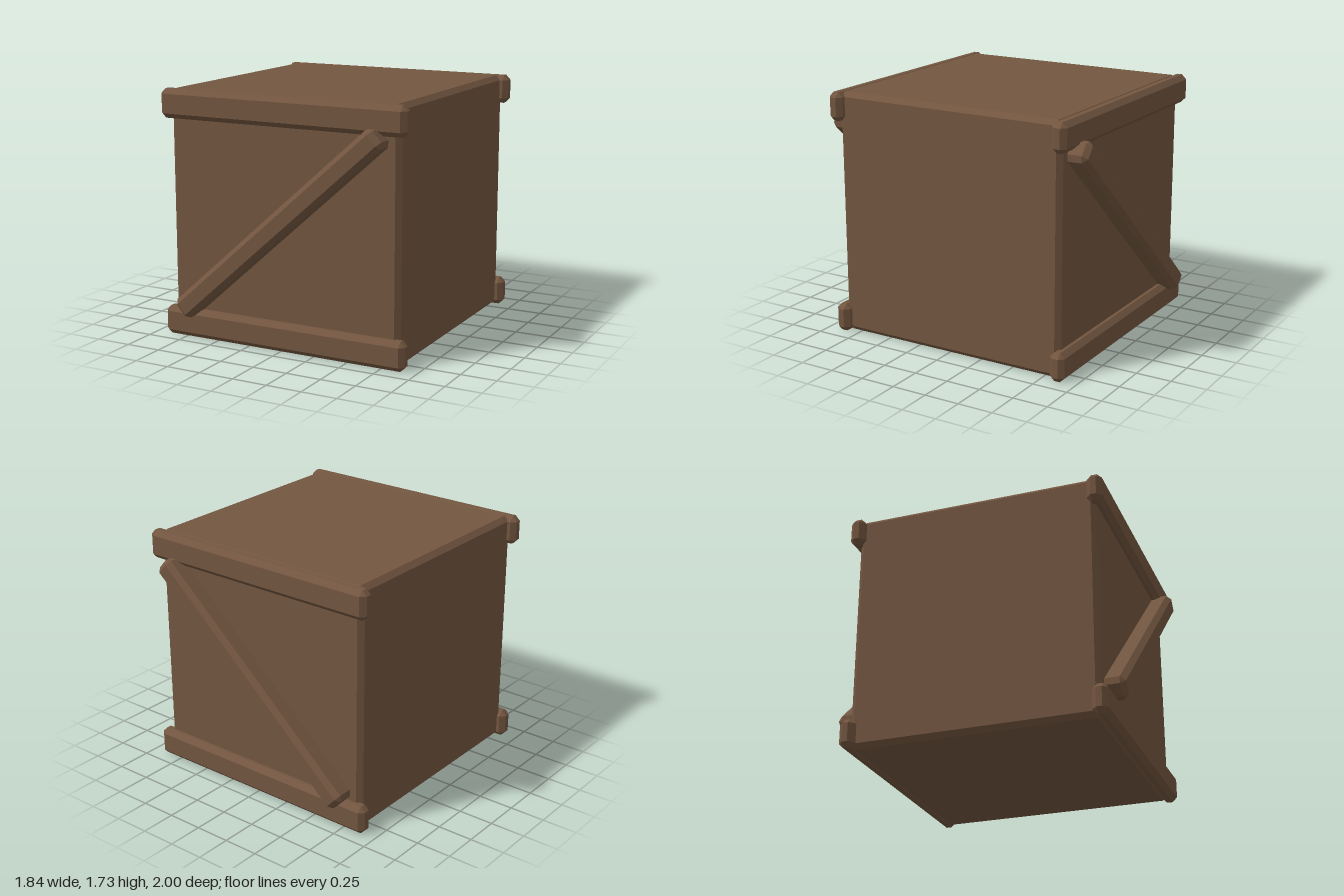
import * as THREE from 'three';
import { ConvexGeometry } from 'three/addons/geometries/ConvexGeometry.js';

const wood = new THREE.MeshStandardMaterial({ color: 0x735640, flatShading: true });
const BEVEL = 0.034;

// Box with every edge and corner cut flat: three shrunken face rectangles per corner, hulled.
function bevelledBox(name, w, h, d) {
  const half = [w / 2, h / 2, d / 2];
  const points = [];
  for (const sx of [-1, 1]) for (const sy of [-1, 1]) for (const sz of [-1, 1]) {
    for (let axis = 0; axis < 3; axis++) {
      const [x, y, z] = half.map((v, i) => (i === axis ? v : v - BEVEL));
      points.push(new THREE.Vector3(sx * x, sy * y, sz * z));
    }
  }
  const mesh = new THREE.Mesh(new ConvexGeometry(points), wood);
  mesh.name = name;
  return mesh;
}

export function createModel() {
  const crate = new THREE.Group();
  crate.name = 'crate';
  const size = 1.73;

  // Solid crate body
  const body = bevelledBox('body', size, size, size);
  body.position.y = size / 2;
  crate.add(body);

  // Rails and a diagonal brace, mirrored on front and back
  for (const [label, side] of [['front', 1], ['back', -1]]) {
    for (const [level, y] of [['Bottom', 0.101], ['Top', size - 0.101]]) {
      const rail = bevelledBox(label + level + 'Rail', 1.842, 0.202, 0.108);
      rail.position.set(0, y, side * 0.867);
      crate.add(rail);
    }
    const brace = bevelledBox(label + 'Brace', 2.01, 0.16, 0.17);
    brace.position.set(0, 0.868, side * 0.915);
    brace.rotation.z = THREE.MathUtils.degToRad(41.7);
    crate.add(brace);
  }
  return crate;
}
